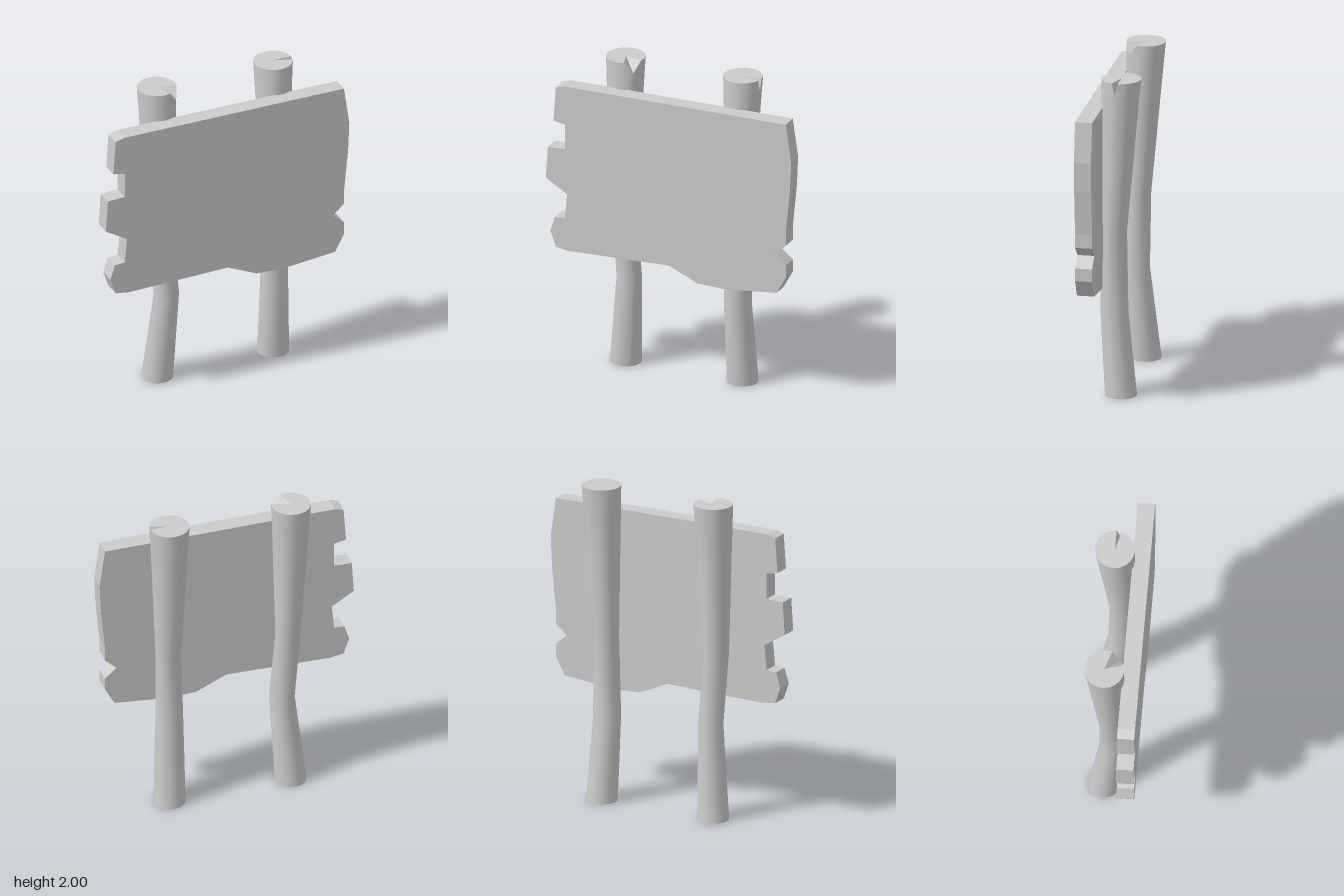
import * as THREE from 'three';

const SIDES = 20;
const material = new THREE.MeshStandardMaterial({ color: 0xcccccc });
const flatMaterial = new THREE.MeshStandardMaterial({ color: 0xcccccc, flatShading: true });

function buildMesh(name, points, index, mat) {
  const geometry = new THREE.BufferGeometry();
  geometry.setAttribute('position', new THREE.Float32BufferAttribute(points.flat(), 3));
  geometry.setIndex(index);
  geometry.computeVertexNormals();
  const mesh = new THREE.Mesh(geometry, mat);
  mesh.name = name;
  return mesh;
}

// Crooked round post lofted through rings [y, x, z, radius], with a V split in its top.
// The split spans the given angles (degrees from +x towards +z).
function createPost(name, rings, split) {
  const mid = (split.from + split.to) / 2;
  const half = (split.to - split.from) / 2;
  const angles = Array.from({ length: SIDES }, (_, i) => (i * 360) / SIDES);
  if (!angles.includes(mid)) angles.push(mid);
  angles.sort((a, b) => a - b);
  const n = angles.length;

  const loops = rings.map(([y, x, z, r], k) => angles.map((deg) => {
    const a = THREE.MathUtils.degToRad(deg);
    const dip = k === rings.length - 1 ? split.depth * Math.max(0, 1 - Math.abs(deg - mid) / half) : 0;
    return [x + r * Math.cos(a), y - dip, z + r * Math.sin(a)];
  }));

  // Shaft
  const sideIndex = [];
  for (let k = 0; k < rings.length - 1; k++) {
    for (let i = 0; i < n; i++) {
      const j = (i + 1) % n;
      const a = k * n + i, b = k * n + j;
      sideIndex.push(a, a + n, b, b, a + n, b + n);
    }
  }

  // End caps: the top fan dips into the split
  const centre = ([y, x, z]) => [x, y, z];
  const top = rings.length - 1;
  const capPoints = [centre(rings[0]), ...loops[0], centre(rings[top]), ...loops[top]];
  const capIndex = [];
  for (let i = 0; i < n; i++) {
    const j = (i + 1) % n;
    capIndex.push(0, 1 + i, 1 + j, n + 1, n + 2 + j, n + 2 + i);
  }

  const post = new THREE.Group();
  post.name = name;
  post.add(buildMesh('shaft', loops.flat(), sideIndex, material));
  post.add(buildMesh('cutEnds', capPoints, capIndex, flatMaterial));
  return post;
}

// Thick board with a chipped, weathered outline
function createBoard() {
  const outline = [
    [-0.69, 1.825], [-0.745, 1.808], [-0.76, 1.59], [-0.685, 1.575], [-0.685, 1.415],
    [-0.797, 1.41], [-0.81, 1.205], [-0.67, 1.12], [-0.685, 0.963], [-0.75, 0.958],
    [-0.78, 0.865], [-0.745, 0.763], [-0.66, 0.75], [0, 0.767], [0.19, 0.682],
    [0.37, 0.675], [0.71, 0.71], [0.77, 0.82], [0.77, 0.9], [0.697, 0.963],
    [0.77, 1.03], [0.77, 1.12], [0.797, 1.39], [0.805, 1.58], [0.77, 1.825],
  ];
  const shape = new THREE.Shape(outline.map(([x, y]) => new THREE.Vector2(x, y)));
  const geometry = new THREE.ExtrudeGeometry(shape, { depth: 0.105, bevelEnabled: false });
  const board = new THREE.Mesh(geometry, flatMaterial);
  board.name = 'board';
  board.position.z = 0.061;
  return board;
}

export function createModel() {
  const sign = new THREE.Group();
  sign.name = 'signpost';
  sign.add(createBoard());
  sign.add(createPost('rightPost', [
    [0, -0.374, -0.043, 0.097],
    [0.58, -0.333, 0, 0.077],
    [1.04, -0.372, 0, 0.077],
    [1.9, -0.376, -0.041, 0.116],
    [2, -0.376, -0.046, 0.121],
  ], { from: 18, to: 72, depth: 0.07 }));
  sign.add(createPost('leftPost', [
    [0, 0.395, -0.043, 0.097],
    [0.52, 0.382, 0, 0.085],
    [1.03, 0.388, 0, 0.078],
    [1.9, 0.395, -0.041, 0.116],
    [2, 0.396, -0.046, 0.121],
  ], { from: 0, to: 18, depth: 0.075 }));
  return sign;
}
